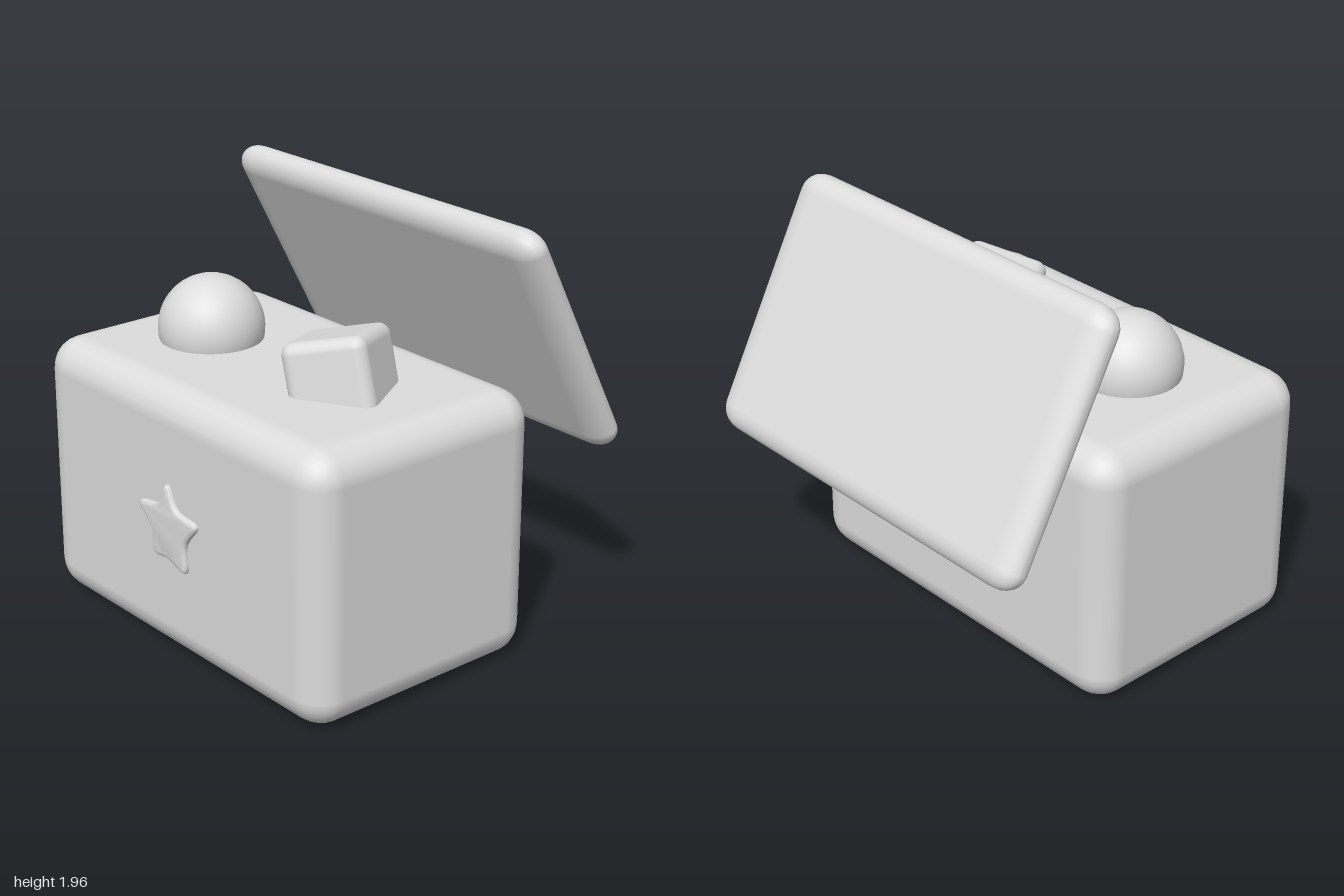
import * as THREE from 'three';
import { toCreasedNormals } from 'three/addons/utils/BufferGeometryUtils.js';
import { RoundedBoxGeometry } from 'three/addons/geometries/RoundedBoxGeometry.js';

// Rounded box whose edge radius can differ along each axis
function softBox(size, radii, segments) {
  const geo = new RoundedBoxGeometry(1, 1, 1, segments, 0.25);
  const p = geo.attributes.position, n = geo.attributes.normal;
  for (let i = 0; i < p.count; i++) {
    const pos = [p.getX(i), p.getY(i), p.getZ(i)];
    const nor = [n.getX(i), n.getY(i), n.getZ(i)];
    const out = pos.map((v, k) => Math.sign(v) * (size[k] / 2 - radii[k]) + radii[k] * nor[k]);
    const dir = new THREE.Vector3(...nor.map((v, k) => v / radii[k])).normalize();
    p.setXYZ(i, ...out);
    n.setXYZ(i, dir.x, dir.y, dir.z);
  }
  return geo;
}

// Puffy star with softened points, slightly lopsided like clay
function starGeometry() {
  const outline = [
    [-0.01, 0.84], [-0.07, 0.74], [-0.21, 0.70], [-0.12, 0.595], [-0.105, 0.49],
    [0.0, 0.488], [0.115, 0.46], [0.122, 0.595], [0.2, 0.71], [0.06, 0.74],
  ].map(([x, y]) => new THREE.Vector3(x, y, 0));
  const curve = new THREE.CatmullRomCurve3(outline, true, 'centripetal');
  const points = curve.getPoints(60).slice(0, -1).map((v) => new THREE.Vector2(v.x, v.y));
  const geo = new THREE.ExtrudeGeometry(new THREE.Shape(points), {
    depth: 0.03, bevelEnabled: true, bevelThickness: 0.015,
    bevelSize: 0.02, bevelOffset: -0.02, bevelSegments: 4,
  });
  return toCreasedNormals(geo, Math.PI / 2.2);
}

export function createModel() {
  const model = new THREE.Group();
  model.name = 'toyChest';
  const clay = new THREE.MeshStandardMaterial({ color: 0xdddddd });
  clay.name = 'light grey';

  const add = (name, geo, pos) => {
    const mesh = new THREE.Mesh(geo, clay);
    mesh.name = name;
    mesh.position.set(...pos);
    model.add(mesh);
    return mesh;
  };

  // Chest body
  add('chest', softBox([1.97, 1.26, 1.25], [0.16, 0.15, 0.15], 3), [0, 0.63, 0.265]);

  // Open lid leaning back behind the chest
  const lid = add('lid', softBox([2, 1.24, 0.156], [0.13, 0.1, 0.075], 3), [0, 1.405, -0.58]);
  lid.rotation.x = THREE.MathUtils.degToRad(28);

  // Toys poking out of the top
  add('ball', new THREE.SphereGeometry(0.245, 32, 20), [-0.455, 1.31, 0.305]);
  const block = add('block', softBox([0.39, 0.39, 0.39], [0.055, 0.055, 0.055], 3), [0.41, 1.305, 0.265]);
  block.rotation.set(0, Math.PI / 6, THREE.MathUtils.degToRad(15), 'ZYX');

  // Star on the front
  add('star', starGeometry(), [0, 0, 0.87]);

  return model;
}
